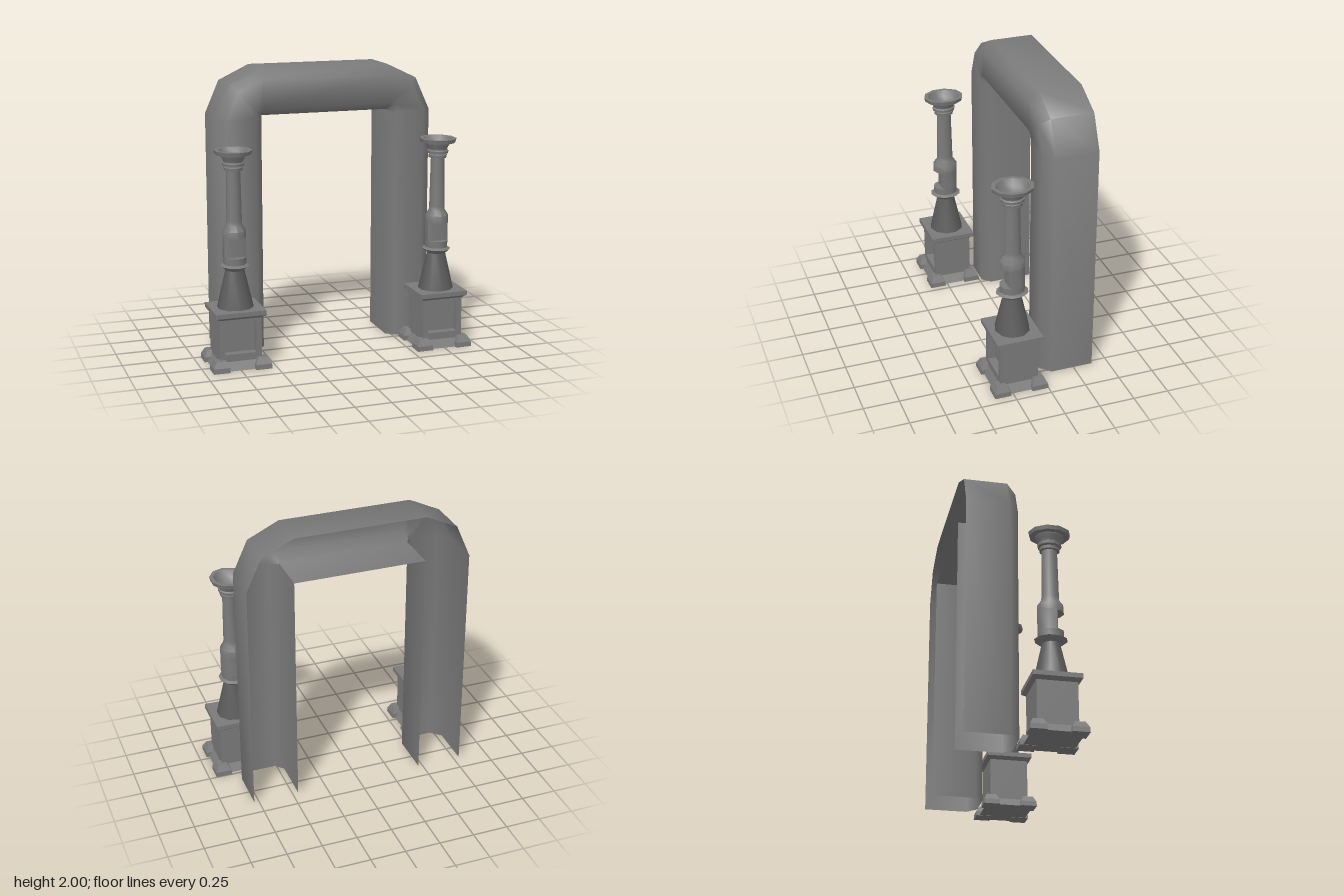
import * as THREE from 'three';
import { toCreasedNormals } from 'three/addons/utils/BufferGeometryUtils.js';

const stone = new THREE.MeshStandardMaterial({ color: 0x7a7a7a, side: THREE.DoubleSide });
const darkStone = new THREE.MeshStandardMaterial({ color: 0x5c5c5c, side: THREE.DoubleSide });

function part(name, geometry, parent, crease = 0.8, material = stone) {
  const mesh = new THREE.Mesh(crease ? toCreasedNormals(geometry, crease) : geometry, material);
  mesh.name = name;
  parent.add(mesh);
  return mesh;
}

// Box whose bottom and top half-sizes differ
function taperedBox(hx0, hz0, hx1, hz1, y0, y1) {
  const g = new THREE.BoxGeometry(2, 1, 2);
  const p = g.attributes.position;
  for (let i = 0; i < p.count; i++) {
    const top = p.getY(i) > 0;
    p.setXYZ(i, p.getX(i) * (top ? hx1 : hx0), top ? y1 : y0, p.getZ(i) * (top ? hz1 : hz0));
  }
  g.computeVertexNormals();
  return g;
}

// Ten-sided turned part, slightly narrower across x
function turned(profile, xScale = 0.885) {
  const g = new THREE.LatheGeometry(profile.map(([r, y]) => new THREE.Vector2(r, y)), 10);
  return g.scale(xScale, 1, 1);
}

// Channel-shaped arch, open at the back and underneath
function archGeometry() {
  const stations = [ // outer x, y, inner x, y
    [-0.79, 0.005, -0.467, 0.005], [-0.79, 1.66, -0.467, 1.66], [-0.69, 1.89, -0.467, 1.675],
    [-0.47, 1.995, -0.467, 1.675], [0.46, 1.995, 0.46, 1.675], [0.68, 1.89, 0.46, 1.675],
    [0.785, 1.66, 0.46, 1.66], [0.785, 0.005, 0.46, 0.005],
  ];
  const section = [ // distance from the outer (+) or inner (-) edge, z
    [0, -0.385], [0, -0.085], [0.07, -0.017], [-0.055, -0.017], [-0.0001, -0.075], [-0.0001, -0.385],
  ];
  const positions = [], index = [], n = section.length;
  stations.forEach(([ox, oy, ix, iy], i) => {
    const width = Math.hypot(ix - ox, iy - oy);
    section.forEach(([d, z], j) => {
      const t = j < 3 ? d / width : 1 + d / width;
      positions.push(ox + (ix - ox) * t, oy + (iy - oy) * t, z);
      if (i < stations.length - 1 && j < n - 1) {
        const a = i * n + j, b = a + n;
        index.push(a, a + 1, b, a + 1, b + 1, b);
      }
    });
  });
  const g = new THREE.BufferGeometry();
  g.setAttribute('position', new THREE.Float32BufferAttribute(positions, 3));
  g.setIndex(index);
  return g;
}

function createPillar() {
  const pillar = new THREE.Group();

  // Base slab and corner feet
  part('baseSlab', taperedBox(0.185, 0.17, 0.147, 0.138, 0.002, 0.06), pillar, 0);
  for (const sx of [-1, 1]) for (const sz of [-1, 1]) {
    const foot = new THREE.Group();
    foot.name = 'foot';
    foot.position.set(sx * 0.147, 0, sz * 0.134);
    pillar.add(foot);
    part('footBlock', taperedBox(0.058, 0.058, 0.056, 0.056, 0, 0.035), foot, 0);
    part('footTop', taperedBox(0.056, 0.056, 0.034, 0.034, 0.035, 0.077), foot, 0);
  }

  // Plinth with a recessed front panel
  const core = part('plinth', new THREE.BoxGeometry(0.294, 0.32, 0.216), pillar, 0);
  core.position.set(0, 0.2, -0.028);
  const frame = new THREE.Shape();
  frame.moveTo(-0.147, 0.04).lineTo(0.147, 0.04).lineTo(0.147, 0.36).lineTo(-0.147, 0.36).closePath();
  const hole = new THREE.Path();
  hole.moveTo(-0.11, 0.11).lineTo(-0.11, 0.33).lineTo(0.11, 0.33).lineTo(0.11, 0.11).closePath();
  frame.holes.push(hole);
  part('plinthFrame', new THREE.ExtrudeGeometry(frame, { depth: 0.056, bevelEnabled: false }), pillar, 0)
    .position.z = 0.08;

  // Plinth cap
  part('plinthCapUnderside', taperedBox(0.147, 0.136, 0.172, 0.16, 0.355, 0.375), pillar, 0);
  part('plinthCap', taperedBox(0.176, 0.163, 0.176, 0.163, 0.375, 0.407), pillar, 0);

  // Cone and collar
  part('cone', turned([[0.122, 0.405], [0.06, 0.68]], 1.04), pillar, 0.8, darkStone);
  part('collar', turned([[0, 0.665], [0.075, 0.67], [0.113, 0.7], [0.088, 0.712], [0.09, 0.76], [0, 0.76]]), pillar);

  // Niche: the front of the drum is cut back flat
  const niche = turned([[0.09, 0.755], [0.09, 0.9]]);
  const p = niche.attributes.position;
  for (let i = 0; i < p.count; i++) p.setZ(i, Math.min(p.getZ(i), 0.038));
  part('niche', niche, pillar);

  // Shoulder, shaft and capital with a hollow bowl
  part('shaft', turned([
    [0, 0.895], [0.09, 0.895], [0.09, 0.945], [0.062, 0.985], [0.06, 1.01], [0.053, 1.36],
  ]), pillar);
  part('capital', turned([
    [0.053, 1.355], [0.07, 1.358], [0.072, 1.378], [0.06, 1.385], [0.082, 1.39], [0.084, 1.408], [0.074, 1.415],
    [0.078, 1.43], [0.098, 1.455], [0.1, 1.465], [0.138, 1.468], [0.145, 1.495], [0.115, 1.495],
    [0.09, 1.45], [0.05, 1.42], [0, 1.415],
  ]), pillar);
  return pillar;
}

export function createModel() {
  const model = new THREE.Group();
  part('arch', archGeometry(), model, 0.9);
  for (const [name, x] of [['leftPillar', 0.742], ['rightPillar', -0.742]]) {
    const pillar = createPillar();
    pillar.name = name;
    pillar.position.set(x, 0, 0.193);
    model.add(pillar);
  }
  return model;
}
